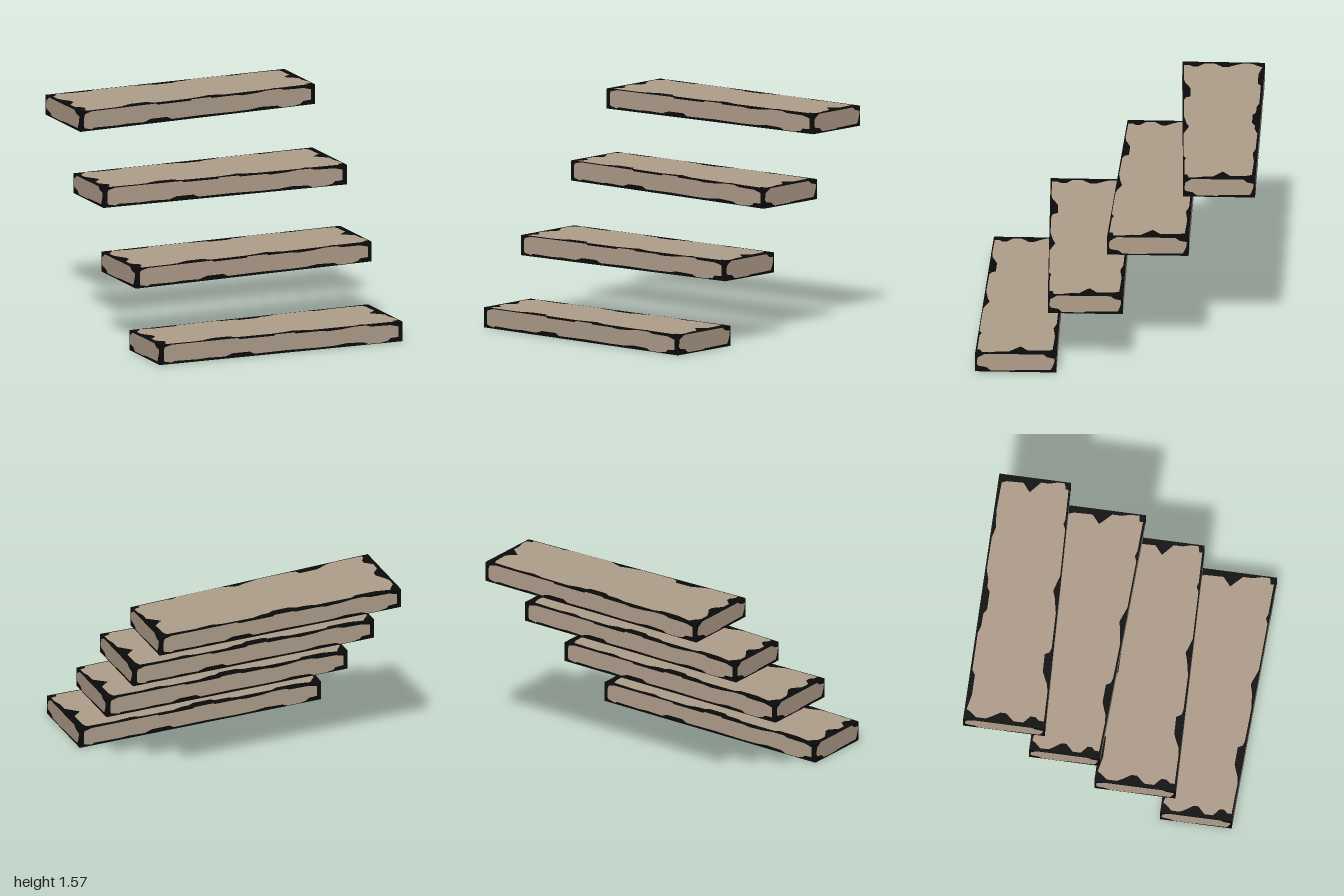
import * as THREE from 'three';

// Worn outlines of the painted area on each face, in percent of face width and height
const TREAD = [
  3, 2, 15, 1.5, 18, 3, 20, 6, 23, 10, 30, 10, 31, 4, 33, 2, 47, 1.5, 53, 5, 56, 8, 59, 4.5, 62, 1, 81, 1, 83, 4, 85, 2, 97, 2,
  97, 6, 99.4, 8, 99.4, 18, 98.5, 29, 98.5, 41, 94, 55, 97.5, 65, 97.3, 88, 96.5, 95,
  85, 96.5, 78, 94, 74, 97.5, 61, 98, 57, 94, 54, 94, 52, 90, 45, 90, 43, 94, 38, 94.5, 35, 97.5, 20, 97.5, 18, 93.5, 10, 93.5, 4, 97.5,
  3, 92, 1.2, 85, 1.2, 73, 2.3, 66, 4.3, 56, 4.3, 49, 1.5, 39, 1.5, 27, 4.3, 19, 4.3, 13, 3, 8,
];
const LONG = [
  2, 15, 5, 7, 6, 14, 16, 11, 20, 14, 27, 11, 30, 24, 37, 24, 39, 11, 52, 13, 65, 10, 72, 11, 77, 18, 84, 14, 86, 3, 91, 3,
  94, 10, 95, 22, 98.3, 24, 98.3, 77, 95, 88, 87, 90, 85, 98, 80, 98, 75, 91, 69, 88, 66, 93, 56, 93, 55.5, 98.5,
  47.5, 98.5, 47, 92, 33, 92, 32, 98.5, 5, 98, 2, 88, 1.6, 70, 1.6, 25,
];
const END = [
  2, 42, 4, 31, 14, 24, 19, 7, 48, 7, 50, 11, 93, 14, 95, 28, 97.5, 55, 98, 76, 89, 83, 84, 98, 12, 97, 3, 76,
];

const LIFT = 0.002;
const HALF = 0.94;

export function createModel() {
  const stone = new THREE.MeshStandardMaterial({ color: 0xb09e8b });
  stone.name = 'stone';
  const dark = new THREE.MeshStandardMaterial({ color: 0x0b0b0b });
  dark.name = 'darkEdge';

  // Flat worn panel fitted between corners a (lower left), b (lower right), c (upper right), d (upper left)
  function panel(name, outline, a, b, c, d) {
    const points = [];
    for (let i = 0; i < outline.length; i += 2) {
      points.push(new THREE.Vector2(outline[i] / 100, outline[i + 1] / 100));
    }
    const geometry = new THREE.ShapeGeometry(new THREE.Shape(points));
    const normal = b.clone().sub(a).cross(d.clone().sub(a)).normalize();
    const pos = geometry.attributes.position;
    for (let i = 0; i < pos.count; i++) {
      const u = pos.getX(i), v = pos.getY(i);
      const p = a.clone().lerp(b, u).lerp(d.clone().lerp(c, u), v).addScaledVector(normal, LIFT);
      pos.setXYZ(i, p.x, p.y, p.z);
    }
    geometry.computeVertexNormals();
    const mesh = new THREE.Mesh(geometry, stone);
    mesh.name = name;
    return mesh;
  }

  // One step: straight back edge, front edge slanted between two depths
  function makeStep({ y0, y1, back, frontNeg, frontPos }) {
    const step = new THREE.Group();
    const corner = (sx, sy, sz) => new THREE.Vector3(
      sx * HALF, sy > 0 ? y1 : y0, sz < 0 ? back : sx > 0 ? frontPos : frontNeg);

    const box = new THREE.BoxGeometry(2, 2, 2);
    const pos = box.attributes.position;
    for (let i = 0; i < pos.count; i++) {
      const p = corner(pos.getX(i), pos.getY(i), pos.getZ(i));
      pos.setXYZ(i, p.x, p.y, p.z);
    }
    box.computeVertexNormals();
    const slab = new THREE.Mesh(box, dark);
    slab.name = 'slab';

    step.add(
      slab,
      panel('topFace', TREAD, corner(-1, 1, 1), corner(1, 1, 1), corner(1, 1, -1), corner(-1, 1, -1)),
      panel('bottomFace', TREAD, corner(-1, -1, -1), corner(1, -1, -1), corner(1, -1, 1), corner(-1, -1, 1)),
      panel('frontFace', LONG, corner(-1, -1, 1), corner(1, -1, 1), corner(1, 1, 1), corner(-1, 1, 1)),
      panel('backFace', LONG, corner(1, -1, -1), corner(-1, -1, -1), corner(-1, 1, -1), corner(1, 1, -1)),
      panel('leftEnd', END, corner(1, -1, 1), corner(1, -1, -1), corner(1, 1, -1), corner(1, 1, 1)),
      panel('rightEnd', END, corner(-1, -1, -1), corner(-1, -1, 1), corner(-1, 1, 1), corner(-1, 1, -1)),
    );
    return step;
  }

  const steps = [
    { y0: 0, y1: 0.145, back: 0.42, frontNeg: 0.935, frontPos: 1 },
    { y0: 0.473, y1: 0.618, back: -0.055, frontNeg: 0.53, frontPos: 0.48 },
    { y0: 0.946, y1: 1.091, back: -0.525, frontNeg: -0.02, frontPos: 0.057 },
    { y0: 1.419, y1: 1.564, back: -1, frontNeg: -0.412, frontPos: -0.485 },
  ];

  const model = new THREE.Group();
  model.name = 'floatingSteps';
  steps.forEach((spec, i) => {
    const step = makeStep(spec);
    step.name = `step${i + 1}`;
    model.add(step);
  });
  return model;
}
